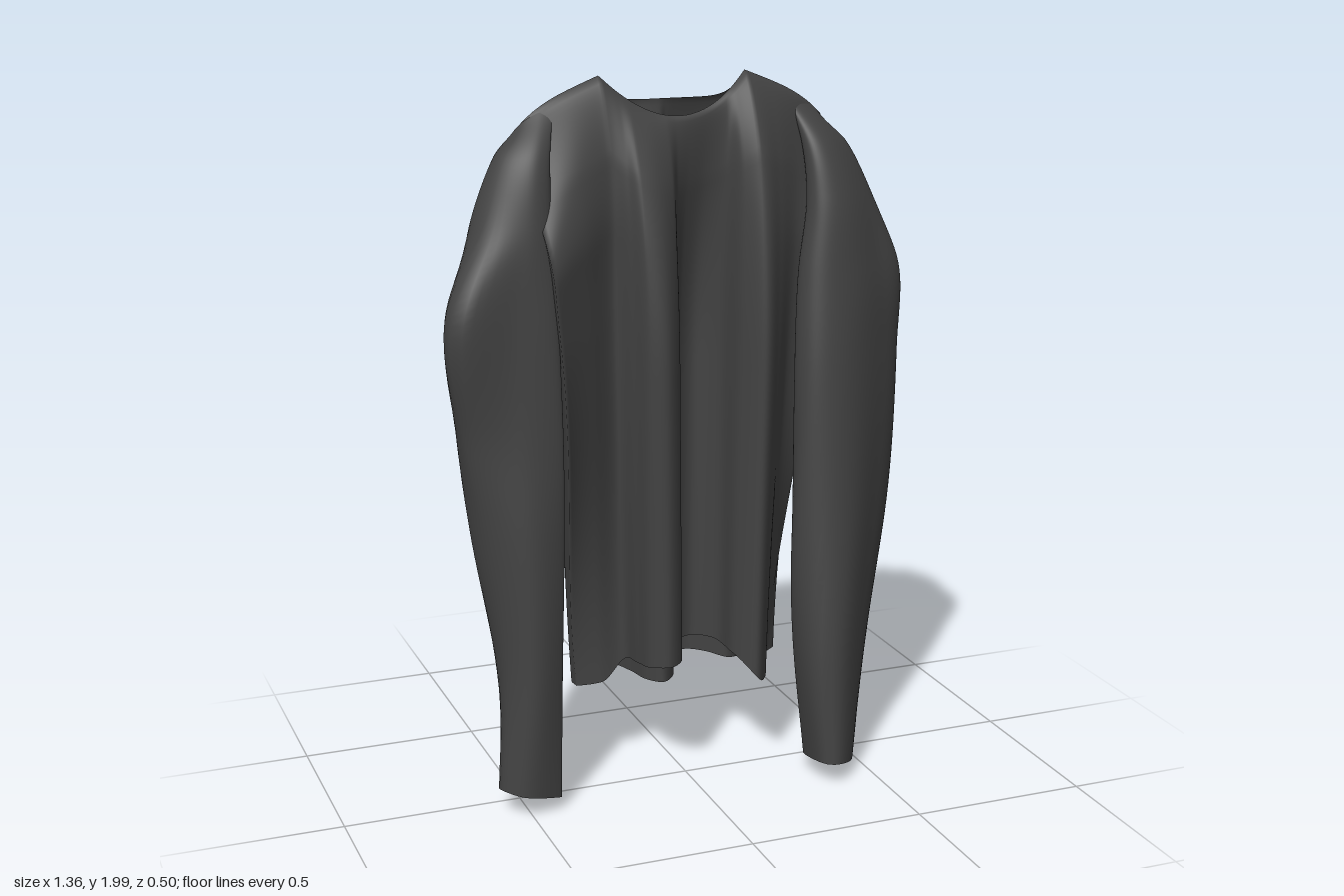
import * as THREE from 'three';

const { lerp, smoothstep } = THREE.MathUtils;
const cloth = new THREE.MeshStandardMaterial({ color: 0x424242, side: THREE.DoubleSide });
cloth.name = 'charcoal cloth';

// Joins rows of closed rings (arrays of Vector3) into a smooth open tube
function loft(name, rings) {
  const n = rings[0].length;
  const index = [];
  for (let r = 0; r < rings.length - 1; r++) {
    for (let i = 0; i < n; i++) {
      const a = r * n + i, b = r * n + (i + 1) % n;
      index.push(a, a + n, b, b, a + n, b + n);
    }
  }
  const geometry = new THREE.BufferGeometry().setFromPoints(rings.flat());
  geometry.setIndex(index);
  geometry.computeVertexNormals();
  const mesh = new THREE.Mesh(geometry, cloth);
  mesh.name = name;
  return mesh;
}

const spline = (points) => new THREE.CatmullRomCurve3(points);

// Fold lines of each panel: x at the shoulder, x at the hem, z at the hem
const FRONT = [
  [-.44, -.285, -.13], [-.32, -.22, -.10], [-.22, -.155, -.09], [-.17, -.14, -.01], [-.14, -.125, .06],
  [-.09, -.08, .09], [-.04, -.03, .05], [-.01, -.015, -.05], [.03, .02, -.11], [.08, .07, -.13],
  [.14, .13, -.08], [.17, .14, .02], [.22, .19, .075], [.28, .245, .01], [.35, .28, -.09], [.44, .335, -.19],
];
const BACK = [
  [-.44, -.285, -.13], [-.38, -.285, -.175], [-.30, -.245, -.2], [-.21, -.16, -.185], [-.16, -.13, -.11],
  [-.12, -.11, -.02], [-.08, -.075, .02], [-.03, -.03, -.02], [-.01, 0, -.13], [.02, .02, -.185],
  [.07, .07, -.2], [.14, .13, -.17], [.20, .18, -.13], [.25, .24, -.17], [.31, .28, -.24],
  [.36, .33, -.25], [.40, .37, -.225], [.44, .335, -.19],
];

// Height of the neckline and shoulder slope
function topEdge(x, front) {
  const k = Math.abs(x) / 0.21;
  if (k < 1) return front ? 1.89 + 0.11 * k * k : 1.93 + 0.07 * k ** 6;
  const s = (Math.abs(x) - 0.21) / 0.23;
  return 2 - 0.09 * s - 0.04 * s ** 4;
}

function hemEdge(x, front) {
  const side = 0.3 - 0.04 * smoothstep(Math.abs(x), 0.08, 0.32);
  return front ? side + 0.07 * (1 - smoothstep(Math.abs(x), 0.12, 0.22)) : side;
}

// One panel of the torso, hanging from flat shoulders into deep folds
function panel(folds, front) {
  const top = spline(folds.map(([x]) => new THREE.Vector3(x, 0, 0)));
  const hem = spline(folds.map(([, x, z]) => new THREE.Vector3(x, 0, z)));
  return (t, v) => {
    const a = top.getPoint(t), b = hem.getPoint(t);
    const u = Math.abs(a.x / 0.44);
    const neck = Math.max(0, 1 - (a.x / 0.21) ** 2);
    const drape = Math.sin(Math.PI / 2 * Math.min(1, v / (front ? 0.46 : 0.38)));
    const puff = Math.sqrt(Math.min(1, v * 8)) * Math.max(0, 1 - u ** 6) * (1 - neck * 0.6);
    const zTop = -0.1 + (front ? 0.05 : -0.02) * neck + (front ? 0.08 : -0.04) * puff;
    // The sides swing forward round the armholes, more so on the right
    const power = front ? (a.x < 0 ? 2 : 4) : 8;
    const swing = (a.x < 0 ? 0.22 : 0.16) * u ** power;
    const armhole = swing * smoothstep(v, 0, 0.25) * (1 - smoothstep(v, 0.35, 1));
    return new THREE.Vector3(
      lerp(a.x, b.x, v),
      lerp(topEdge(a.x, front), hemEdge(b.x, front), v),
      lerp(zTop, b.z, drape) + armhole,
    );
  };
}

function torso() {
  const front = panel(FRONT, true), back = panel(BACK, false);
  const rows = 64, n = 132, rings = [];
  for (let r = 0; r <= rows; r++) {
    const v = (r / rows) ** 1.3, ring = [];
    for (let i = 0; i <= n; i++) ring.push(front(i / n, v));
    for (let i = n - 1; i > 0; i--) ring.push(back(i / n, v));
    rings.push(ring);
  }
  return loft('torso', rings);
}

// A sleeve is a flattened tube round a curved centre line, set row by row from shoulder to cuff
function sleeve(name, rowsIn, halfDepths) {
  const columns = rowsIn[0].map((_, c) => spline(rowsIn.map((row) => new THREE.Vector3(...row[c]))));
  const depths = spline(halfDepths.map((d, i) => new THREE.Vector3(d, i, 0)));
  const rows = 70, n = 40, rings = [];
  for (let r = 0; r <= rows; r++) {
    const v = r / rows;
    const line = spline(columns.map((column) => column.getPoint(v)));
    const depth = depths.getPoint(v).x;
    const frontSide = [], backSide = [];
    for (let i = 0; i <= n; i++) {
      const t = (1 - Math.cos(Math.PI * i / n)) / 2;
      const p = line.getPoint(t), d = line.getTangent(t);
      const side = new THREE.Vector3(-d.z, 0, d.x).normalize();
      side.multiplyScalar(depth * Math.sqrt(Math.max(0, 1 - (2 * t - 1) ** 4)));
      frontSide.push(p.clone().add(side));
      if (i > 0 && i < n) backSide.unshift(p.clone().sub(side));
    }
    rings.push([...frontSide, ...backSide]);
  }
  return loft(name, rings);
}

// Level row of x, z pairs
const level = (y, ...xz) => xz.map(([x, z]) => [x, y, z]);

export function createModel() {
  const model = new THREE.Group();
  model.name = 'draped sweater';
  model.add(torso());

  // Full, rounded sleeve that folds into a U at the cuff
  model.add(sleeve('leftSleeve', [
    [[.34, 1.92, -.09], [.38, 1.91, -.095], [.42, 1.89, -.1], [.45, 1.85, -.1]],
    level(1.80, [.36, -.04], [.41, -.04], [.46, -.07], [.495, -.10]),
    level(1.65, [.36, 0], [.44, 0], [.52, -.05], [.56, -.10]),
    level(1.45, [.33, .03], [.45, .01], [.56, -.04], [.66, -.07]),
    level(1.20, [.31, .05], [.42, .05], [.56, -.03], [.66, -.09]),
    level(0.80, [.305, .05], [.39, .10], [.52, .01], [.645, -.10]),
    level(0.40, [.315, .06], [.36, .175], [.46, .10], [.573, -.06]),
    [[.335, .05, .09], [.36, .07, .225], [.42, .05, .18], [.50, .005, -.03]],
  ], [0, .035, .05, .07, .07, .07, .045, .022]));

  // Flat sleeve folded into a C that opens towards the torso
  model.add(sleeve('rightSleeve', [
    [[-.34, 1.92, -.09], [-.38, 1.91, -.09], [-.42, 1.89, -.095], [-.45, 1.86, -.1], [-.44, 1.86, -.11]],
    level(1.80, [-.37, -.03], [-.42, -.03], [-.47, -.06], [-.485, -.09], [-.43, -.12]),
    level(1.62, [-.38, .01], [-.45, .01], [-.535, -.02], [-.55, -.08], [-.43, -.12]),
    level(1.39, [-.38, .05], [-.50, .04], [-.65, .04], [-.57, -.10], [-.42, -.11]),
    level(1.05, [-.38, .08], [-.50, .07], [-.615, .02], [-.60, -.07], [-.40, -.08]),
    level(0.80, [-.385, .09], [-.49, .10], [-.575, .04], [-.59, -.045], [-.395, -.07]),
    level(0.40, [-.40, .10], [-.49, .12], [-.54, .06], [-.525, -.03], [-.395, -.065]),
    [[-.41, .04, .105], [-.52, .07, .125], [-.565, .08, .08], [-.49, .01, -.02], [-.415, .01, -.06]],
  ], [0, .022, .03, .03, .024, .02, .018, .015]));

  return model;
}
